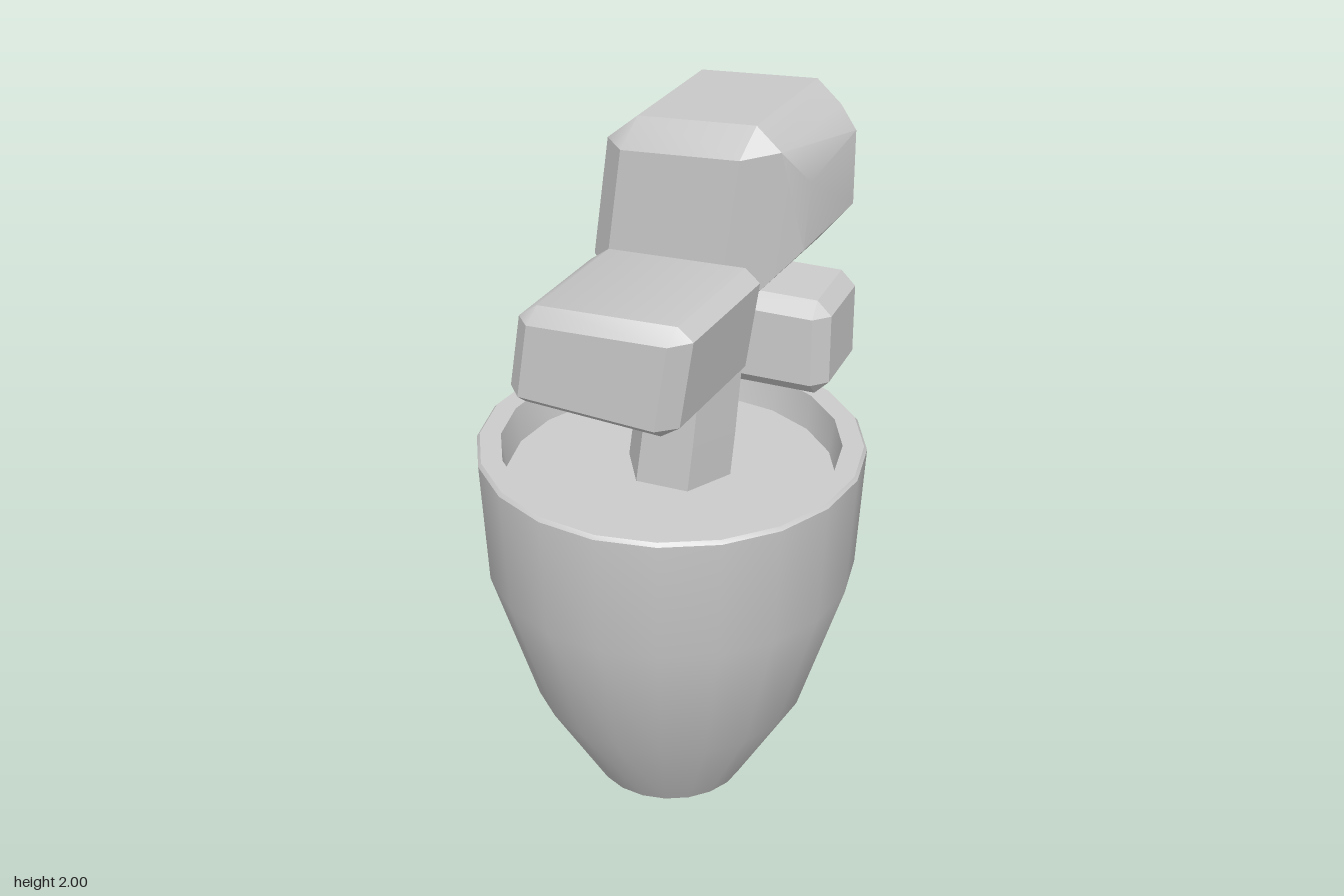
import * as THREE from 'three';
import { toCreasedNormals } from 'three/addons/utils/BufferGeometryUtils.js';
import { ConvexGeometry } from 'three/addons/geometries/ConvexGeometry.js';

const grey = new THREE.MeshStandardMaterial({ color: 0xcccccc });
const flatGrey = new THREE.MeshStandardMaterial({ color: 0xcccccc, flatShading: true });

function add(group, name, geometry, material = grey) {
  const mesh = new THREE.Mesh(geometry, material);
  mesh.name = name;
  group.add(mesh);
  return mesh;
}

// Chamfered foliage block: leans in x, its top slopes up to +x, then turns about y.
// bulge holds extra points that swell the block.
function foliage({ center, half, chamfer, lean = 0, slope = 0, turn = 0, bulge = [] }) {
  const points = [];
  const [cx, cy, cz] = chamfer;
  for (const sx of [-1, 1]) for (const sy of [-1, 1]) for (const sz of [-1, 1]) {
    for (const inset of [[0, cy, cz], [cx, 0, cz], [cx, cy, 0]]) {
      const p = new THREE.Vector3(
        sx * (half[0] - inset[0]), sy * (half[1] - inset[1]), sz * (half[2] - inset[2]));
      if (sy > 0) p.y += slope * (p.x - half[0] + cx);
      p.x += lean * p.y;
      p.applyAxisAngle(new THREE.Vector3(0, 1, 0), turn);
      points.push(p.add(new THREE.Vector3(...center)));
    }
  }
  for (const b of bulge) points.push(new THREE.Vector3(...b));
  return toCreasedNormals(new ConvexGeometry(points), 0.6);
}

function branch(points) {
  const curve = new THREE.CatmullRomCurve3(points.map((p) => new THREE.Vector3(...p)));
  return new THREE.TubeGeometry(curve, 4, 0.026, 6);
}

export function createModel() {
  const model = new THREE.Group();
  model.name = 'pottedTree';
  const potZ = -0.055;

  // Pot with a thick rim
  const profile = [
    [0, 0], [0.21, 0], [0.375, 0.28], [0.5, 0.68], [0.52, 1.03],
    [0.512, 1.04], [0.455, 1.04], [0.44, 0.92],
  ].map(([r, y]) => new THREE.Vector2(r, y));
  const pot = add(model, 'pot', toCreasedNormals(new THREE.LatheGeometry(profile, 20), 0.6));
  pot.position.z = potZ;

  // Soil disc
  const soil = add(model, 'soil', new THREE.CircleGeometry(0.45, 20).rotateX(-Math.PI / 2));
  soil.position.set(0, 0.94, potZ);

  // Six-sided trunk bending gently to +x
  const trunkGeo = new THREE.CylinderGeometry(0.135, 0.147, 0.7, 6, 4).rotateY(Math.PI / 2);
  trunkGeo.translate(0, 1.25, -0.105);
  const pos = trunkGeo.attributes.position;
  for (let i = 0; i < pos.count; i++) {
    const t = (pos.getY(i) - 0.9) / 0.7;
    pos.setX(i, pos.getX(i) + 0.05 * Math.sin(t * Math.PI / 2));
  }
  add(model, 'trunk', trunkGeo, flatGrey);

  // Branches
  add(model, 'frontBranch',
    branch([[0.045, 1.36, -0.04], [0.05, 1.375, 0.02], [0.06, 1.43, 0.09], [0.06, 1.47, 0.15]]), flatGrey);
  add(model, 'backBranch',
    branch([[0.07, 1.12, -0.17], [0.09, 1.14, -0.22], [0.1, 1.19, -0.25], [0.1, 1.21, -0.32]]), flatGrey);

  // Foliage blocks
  add(model, 'crown', foliage({
    center: [0.075, 1.75, -0.175], half: [0.235, 0.25, 0.25], chamfer: [0.075, 0.065, 0.075],
    lean: 0.13, slope: 0.11, turn: -0.1,
    bulge: [
      [0.4, 1.89, -0.3], [0.4, 1.69, -0.3], [0.365, 1.84, -0.06], [0.355, 1.66, -0.05],
      [0.35, 1.86, -0.39], [0.35, 1.66, -0.39], [0.22, 1.81, -0.487], [0.22, 1.64, -0.487],
      [0, 1.81, -0.505], [0, 1.65, -0.505],
    ],
  }));
  add(model, 'frontFoliage', foliage({
    center: [0.06, 1.55, 0.33], half: [0.23, 0.15, 0.22], chamfer: [0.045, 0.035, 0.045],
    lean: 0.15, slope: 0.085, turn: -0.1,
  }));
  add(model, 'backFoliage', foliage({
    center: [0.09, 1.252, -0.415], half: [0.26, 0.138, 0.14], chamfer: [0.04, 0.04, 0.04],
  }));

  return model;
}
